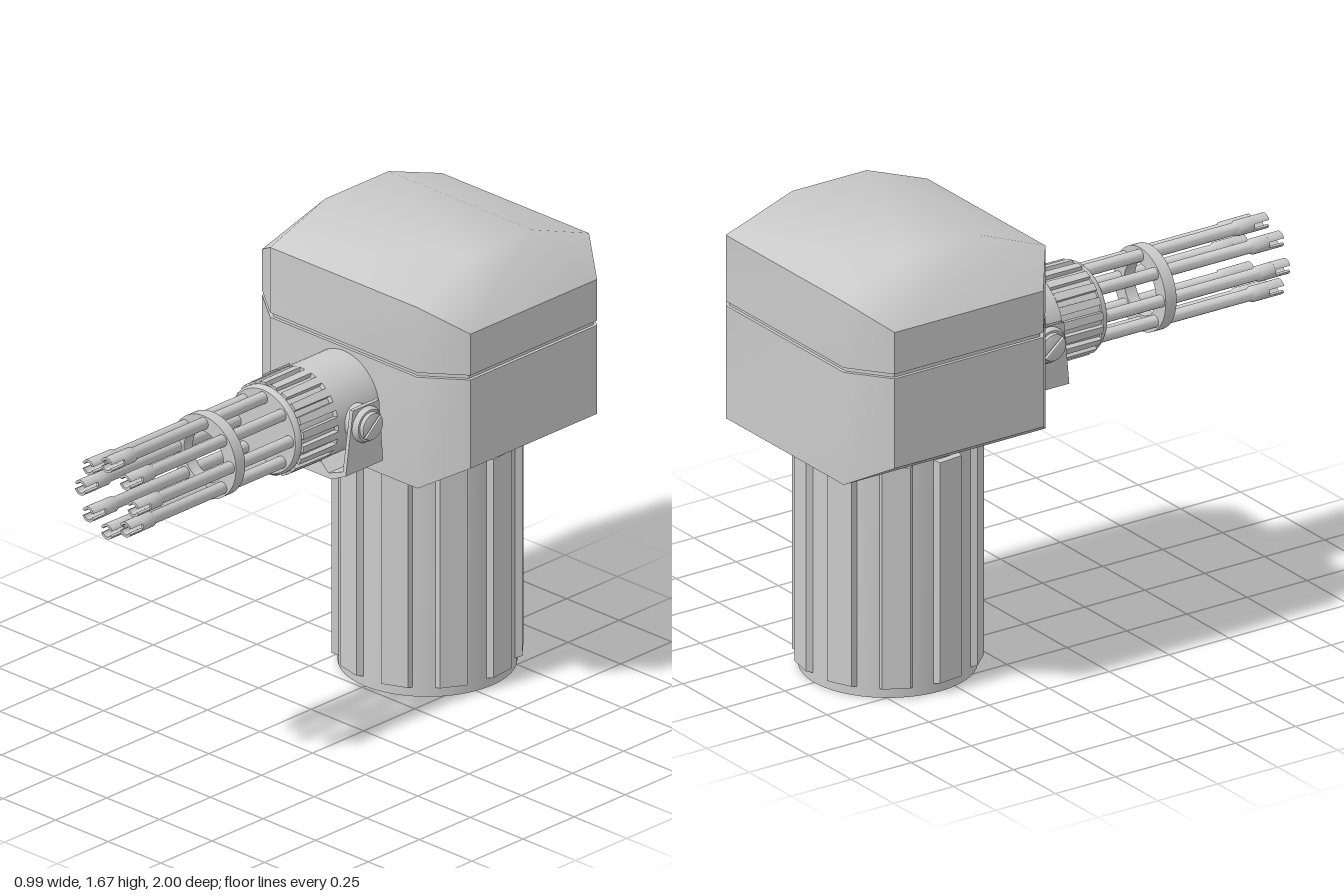
import * as THREE from 'three';
import { toCreasedNormals } from 'three/addons/utils/BufferGeometryUtils.js';

const material = new THREE.MeshStandardMaterial({ color: 0xcccccc });
const GUN_Y = 1.125, BODY_Z = -0.58, BASE_Z = -0.57, PIVOT_Z = -0.05;

function add(parent, name, geometry, crease = 0.7) {
  const mesh = new THREE.Mesh(toCreasedNormals(geometry, crease), material);
  mesh.name = name;
  parent.add(mesh);
  return mesh;
}

// Lathe turned so that its axis runs along z; points are [radius, z].
function latheZ(points, segments) {
  const profile = points.map(([r, z]) => new THREE.Vector2(r, z));
  return new THREE.LatheGeometry(profile, segments).rotateX(Math.PI / 2);
}

// Box whose outer (+z) face is smaller, giving bevelled ends and sides.
function bevelledRib(w, h, d, sx, sy) {
  const geo = new THREE.BoxGeometry(w, h, d);
  const p = geo.attributes.position;
  for (let i = 0; i < p.count; i++) {
    if (p.getZ(i) > 0) p.setXY(i, p.getX(i) * sx, p.getY(i) * sy);
  }
  return geo;
}

function polygons(faces) {
  const out = [];
  for (const f of faces) {
    for (let i = 1; i < f.length - 1; i++) out.push(...f[0], ...f[i], ...f[i + 1]);
  }
  const geo = new THREE.BufferGeometry();
  geo.setAttribute('position', new THREE.Float32BufferAttribute(out, 3));
  return geo;
}

// Eight-sided plan; the front/back corners and the side corners have own heights.
function ring(yFront, ySide, inset = 0) {
  const a = 0.35 - inset / 2, b = 0.495 - inset, c = 0.42 - inset, d = 0.31 - inset / 2;
  return [[a, c], [b, d], [b, -d], [a, -c], [-a, -c], [-b, -d], [-b, d], [-a, c]]
    .map(([x, z]) => [x, Math.abs(z) > 0.36 ? yFront : ySide, z + BODY_Z]);
}

function buildHead(group) {
  const rings = [ring(0.89, 0.975), ring(1.308, 1.308), ring(1.308, 1.308, 0.012),
    ring(1.325, 1.325, 0.012), ring(1.325, 1.325), ring(1.57, 1.48)];
  const faces = [];
  for (let r = 0; r < rings.length - 1; r++) {
    const lo = rings[r], hi = rings[r + 1];
    for (let i = 0; i < 8; i++) {
      const j = (i + 1) % 8;
      faces.push([lo[i], lo[j], hi[j], hi[i]]);
    }
  }
  // Underside: flat middle and two sloping flanks
  const u = rings[0];
  faces.push([u[7], u[4], u[3], u[0]], [u[3], u[2], u[1], u[0]], [u[7], u[6], u[5], u[4]]);
  add(group, 'headHousing', polygons(faces), 0.78);

  // Softly shaded roof
  const brim = rings[5];
  const top = [[0.34, 0.16], [0.34, -0.15], [-0.34, -0.15], [-0.34, 0.16]]
    .map(([x, z]) => [x, 1.67, z + BODY_Z]);
  const roof = [top];
  for (let k = 0; k < 4; k++) {
    const i = k * 2, n = (k + 1) % 4;
    // Each roof corner sits above a pair of brim corners
    roof.push([brim[i], brim[i + 1], top[k]]);
    roof.push([brim[i + 1], brim[(i + 2) % 8], top[n], top[k]]);
  }
  add(group, 'roof', polygons(roof), 1.05);
}

function buildBase(group) {
  const base = new THREE.Group();
  base.name = 'base';
  base.position.z = BASE_Z;
  group.add(base);
  add(base, 'column', new THREE.CylinderGeometry(0.307, 0.307, 0.9, 48).translate(0, 0.45, 0));
  const rib = bevelledRib(0.13, 0.845, 0.05, 0.75, 0.97).translate(0, 0.45, 0.3);
  for (let i = 0; i < 10; i++) {
    add(base, 'columnRib', rib, 0.2).rotation.y = (24 + i * 36) * Math.PI / 180;
  }
}

function buildGun(group) {
  const gun = new THREE.Group();
  gun.name = 'gun';
  gun.position.y = GUN_Y;
  group.add(gun);

  add(gun, 'gunHousing', latheZ([[0, -0.2], [0.17, -0.2], [0.17, 0.04], [0.155, 0.045],
    [0.155, 0.21], [0.162, 0.212], [0.162, 0.225], [0.154, 0.235], [0, 0.235]], 48));
  const rib = bevelledRib(0.03, 0.03, 0.17, 0.9, 0.9).translate(0, 0.156, 0.125);
  for (let i = 0; i < 20; i++) {
    add(gun, 'housingRib', rib, 0.3).rotation.z = (i + 0.5) * Math.PI / 10;
  }

  // Barrel clamp
  add(gun, 'barrelClamp', latheZ([[0.095, 0.48], [0.153, 0.48], [0.153, 0.525],
    [0.095, 0.525], [0.095, 0.48]], 48));

  // Barrels with hollow, side-slotted muzzles
  const barrel = latheZ([[0.022, 0.22], [0.022, 0.87], [0.028, 0.88], [0.028, 0.94],
    [0.019, 0.94], [0.019, 0.9], [0, 0.9]], 16);
  const slot = 0.38;
  const lip = new THREE.Shape();
  lip.absarc(0, 0, 0.028, slot, Math.PI - slot, false);
  lip.absarc(0, 0, 0.019, Math.PI - slot, slot, true);
  const prong = new THREE.ExtrudeGeometry(lip, { depth: 0.062, bevelEnabled: false, curveSegments: 8 })
    .translate(0, 0, 0.938);
  for (let i = 0; i < 8; i++) {
    const unit = new THREE.Group();
    unit.name = 'barrel';
    const a = i * Math.PI / 4;
    unit.position.set(0.125 * Math.cos(a), 0.125 * Math.sin(a), 0);
    gun.add(unit);
    add(unit, 'barrelTube', barrel);
    add(unit, 'muzzleProngUpper', prong);
    add(unit, 'muzzleProngLower', prong).rotation.z = Math.PI;
  }
}

function buildCradle(group) {
  const cradle = new THREE.Group();
  cradle.name = 'cradle';
  cradle.position.set(0, GUN_Y, PIVOT_Z);
  group.add(cradle);

  // U-shaped bracket, wider towards its foot
  const half = [[0.213, 0.07], [0.205, -0.17], [0.14, -0.2]];
  const inner = [[0.125, -0.182], [0.19, -0.158], [0.198, 0.07]];
  const mirror = (pts) => pts.map(([x, y]) => [-x, y]).reverse();
  const outline = [...mirror(half), ...mirror(inner), ...inner, ...half];
  // Outer left side goes down, inner U follows, outer right side closes it
  const u = [...mirror(half).reverse(), ...half.slice().reverse(),
    ...inner.slice().reverse(), ...mirror(inner)].slice(0, outline.length);
  const shape = new THREE.Shape(u.map(([x, y]) => new THREE.Vector2(x, y)));
  const geo = new THREE.ExtrudeGeometry(shape, { depth: 2, bevelEnabled: false }).translate(0, 0, -1);
  const p = geo.attributes.position;
  for (let i = 0; i < p.count; i++) {
    p.setZ(i, p.getZ(i) * THREE.MathUtils.mapLinear(p.getY(i), -0.2, 0.07, 0.095, 0.064));
  }
  add(cradle, 'bracket', geo, 0.3);

  // Pivots with slotted bolt heads on both sides
  const pin = latheZ([[0.06, 0.14], [0.06, 0.198], [0.066, 0.205], [0.066, 0.218],
    [0.058, 0.232], [0, 0.232]], 32);
  const cap = new THREE.Shape();
  cap.absarc(0, 0, 0.046, 0.16, Math.PI - 0.16, false);
  const halfCap = new THREE.ExtrudeGeometry(cap, { depth: 0.012, bevelThickness: 0.006,
    bevelSize: 0.006, bevelOffset: -0.002, bevelSegments: 2, curveSegments: 16 }).translate(0, 0, 0.23);
  for (const side of [1, -1]) {
    const pivot = new THREE.Group();
    pivot.name = side > 0 ? 'leftPivot' : 'rightPivot';
    pivot.rotation.y = side * Math.PI / 2;
    cradle.add(pivot);
    add(pivot, 'pivotPin', pin);
    for (const turn of [0, Math.PI]) add(pivot, 'boltHeadHalf', halfCap).rotation.z = turn + 0.7;
  }
}

export function createModel() {
  const group = new THREE.Group();
  group.name = 'turret';
  buildBase(group);
  buildHead(group);
  buildGun(group);
  buildCradle(group);
  return group;
}
